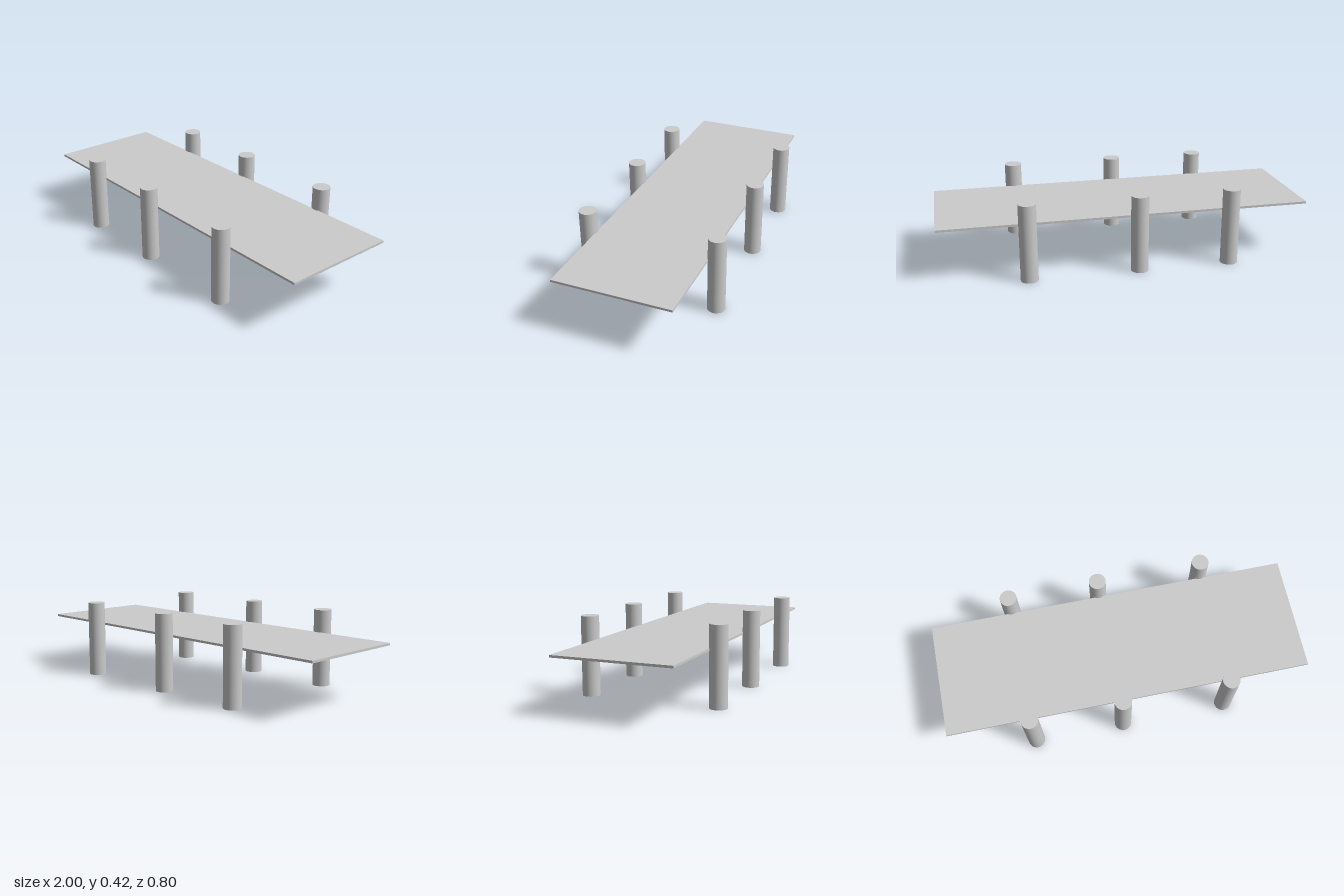
import * as THREE from 'three';

export function createModel() {
  const model = new THREE.Group();
  const material = new THREE.MeshStandardMaterial({ color: 0xcccccc });

  // Thin flat deck
  const deck = new THREE.Mesh(new THREE.BoxGeometry(2, 0.012, 0.627), material);
  deck.name = 'deck';
  deck.position.y = 0.292;
  model.add(deck);

  // Three pairs of round posts along the long edges
  const height = 0.419, radius = 0.0467;
  const postGeometry = new THREE.CylinderGeometry(radius, radius, height, 48);
  const rows = [['right', -0.547], ['middle', -0.047], ['left', 0.54]];
  for (const [name, x] of rows) {
    for (const side of [1, -1]) {
      const post = new THREE.Mesh(postGeometry, material);
      post.name = `${name}${side > 0 ? 'Front' : 'Back'}Post`;
      post.position.set(x, height / 2, side * 0.3535);
      model.add(post);
    }
  }
  return model;
}
